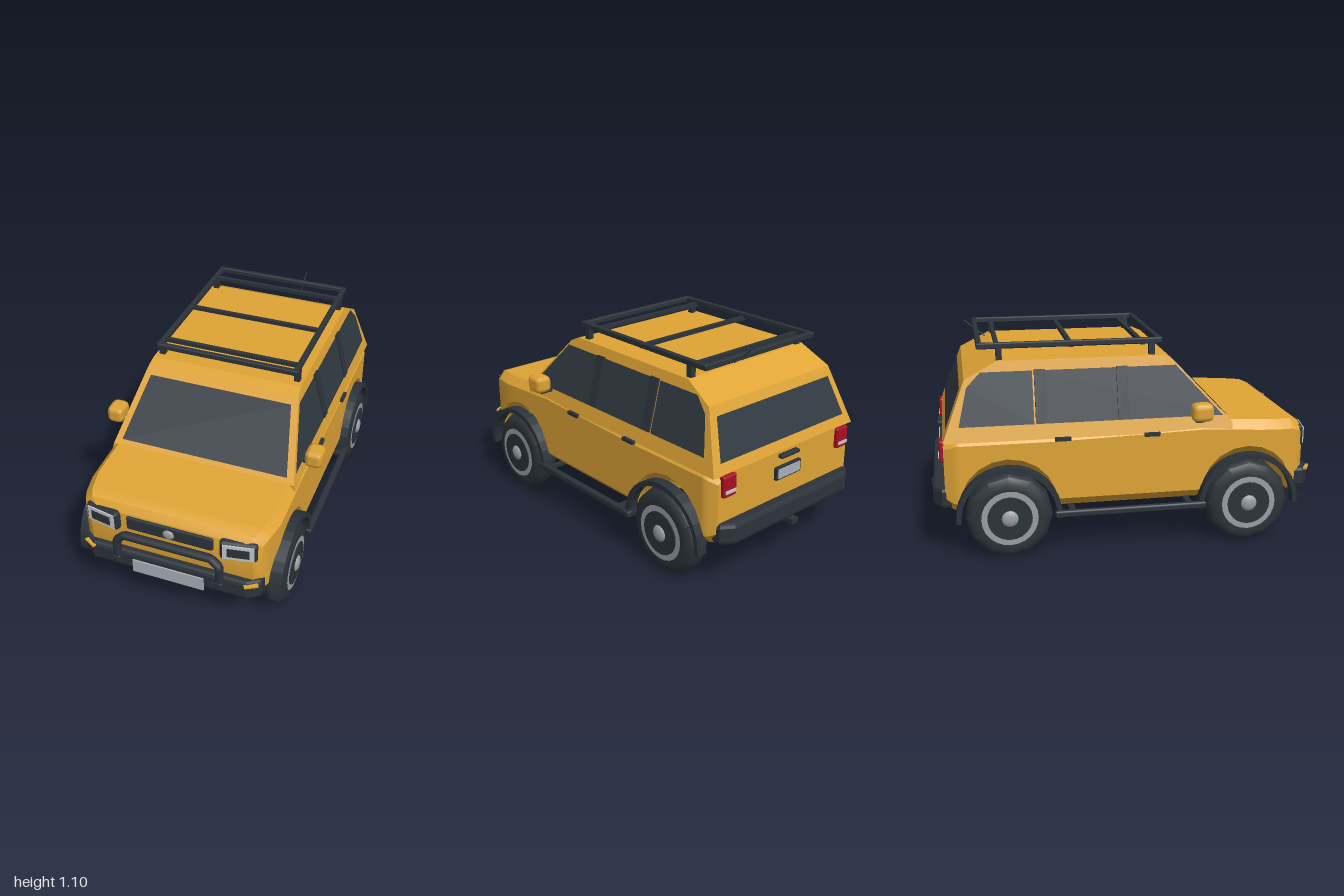
import * as THREE from 'three';
import { toCreasedNormals } from 'three/addons/utils/BufferGeometryUtils.js';
import { RoundedBoxGeometry } from 'three/addons/geometries/RoundedBoxGeometry.js';

const material = (name, color, side = THREE.FrontSide) => {
  const m = new THREE.MeshStandardMaterial({ color, side });
  m.name = name;
  return m;
};

export function createModel() {
  const car = new THREE.Group();
  car.name = 'offRoadCar';
  const paint = material('yellow paint', 0xdfa435);
  const trim = material('dark trim', 0x2b333a);
  const glass = material('tinted glass', 0x313a42, THREE.DoubleSide);
  const rubber = material('tyre rubber', 0x2c3338);
  const metal = material('silver metal', 0x9a9ea3, THREE.DoubleSide);
  const pale = material('pale plate', 0xa9b0b8);
  const lamp = material('lamp white', 0xc4c8ce);
  const red = material('tail light red', 0xa80f22);

  const add = (name, geo, mat, x = 0, y = 0, z = 0, parent = car) => {
    const m = new THREE.Mesh(geo, mat);
    m.name = name;
    m.position.set(x, y, z);
    parent.add(m);
    return m;
  };
  const box = (name, mat, w, h, d, x, y, z) => add(name, new THREE.BoxGeometry(w, h, d), mat, x, y, z);
  const bar = (name, mat, w, h, d, x, y, z, r = 0.01) =>
    add(name, new RoundedBoxGeometry(w, h, d, 1, r), mat, x, y, z);
  const shapeOf = pts => new THREE.Shape(pts.map(p => new THREE.Vector2(...p)));
  const remap = (geo, rule) => {
    const p = geo.attributes.position;
    for (let i = 0; i < p.count; i++) p.setXYZ(i, ...rule(p.getX(i), p.getY(i), p.getZ(i)));
    geo.computeVertexNormals();
    return geo;
  };

  // Lower body: cross-sections from nose to tail, with the floor rising over the wheels
  const wheelZ = 0.615, wheelY = 0.222;
  const sections = [[0.935, 0.42, 0.3, 0.585], [0.905, 0.46, 0.25, 0.618]];
  const arch = (zc, top) => {
    for (let i = 0; i <= 10; i++) {
      const a = Math.PI * i / 10;
      const z = zc + 0.245 * Math.cos(a);
      sections.push([z, z > 0.75 ? 0.5 - (z - 0.75) * 0.2 : 0.5, Math.max(0.245, wheelY + 0.245 * Math.sin(a)), top(z)]);
    }
  };
  arch(wheelZ, z => 0.635 + (0.86 - z) * 0.055);
  arch(-wheelZ, () => 0.64);
  sections.push([-0.885, 0.49, 0.25, 0.63], [-0.925, 0.465, 0.27, 0.615]);
  const verts = [], faces = [];
  for (const [z, w, low, top] of sections) {
    const half = [[w - 0.05, low], [w, low + 0.05], [w, top - 0.045], [w - 0.04, top]];
    for (const [x, y] of half) verts.push(x, y, z);
    for (const [x, y] of half.reverse()) verts.push(-x, y, z);
  }
  const last = (sections.length - 1) * 8;
  for (let i = 0; i < last; i += 8) {
    for (let j = 0; j < 8; j++) {
      const k = (j + 1) % 8;
      faces.push(i + j, i + 8 + j, i + k, i + k, i + 8 + j, i + 8 + k);
    }
  }
  for (let j = 1; j < 7; j++) faces.push(0, j, j + 1, last, last + j + 1, last + j);
  const bodyGeo = new THREE.BufferGeometry();
  bodyGeo.setAttribute('position', new THREE.Float32BufferAttribute(verts, 3));
  bodyGeo.setIndex(faces);
  add('lowerBody', toCreasedNormals(bodyGeo, 0.6), paint);

  // Cabin: side outline extruded across, leaning inwards with height
  const cabinW = y => 0.5 - (y - 0.6) * 0.255;
  const cabin = new THREE.ExtrudeGeometry(shapeOf([
    [0.53, 0.61], [0.53, 0.65], [0.235, 0.965], [0.18, 0.99], [-0.65, 0.99], [-0.81, 0.905], [-0.925, 0.61],
  ]), { depth: 1, bevelEnabled: false });
  add('cabin', remap(cabin, (z, y, s) => [(s > 0.5 ? -1 : 1) * cabinW(y), y, z]), paint);

  // Windscreen and rear window
  const pane = (name, pts, rule) => add(name, remap(new THREE.ShapeGeometry(shapeOf(pts)), rule), glass);
  pane('windscreen', [[-0.445, 0.675], [0.445, 0.675], [0.38, 0.935], [-0.38, 0.935]],
    (x, y) => [x, y, 0.536 - (y - 0.65) * 0.9365]);
  pane('rearWindow', [[-0.44, 0.665], [0.44, 0.665], [0.395, 0.86], [-0.395, 0.86]],
    (x, y) => [x, y, -0.931 + (y - 0.61) * 0.39]);

  // Wheel parts, turned around the axle
  const turn = pts => new THREE.LatheGeometry(pts.map(p => new THREE.Vector2(...p)), 12).rotateZ(-Math.PI / 2);
  const tyreGeo = toCreasedNormals(turn([[0.13, -0.062], [0.18, -0.066], [0.208, -0.048], [0.22, -0.02],
    [0.22, 0.02], [0.208, 0.048], [0.18, 0.066], [0.14, 0.062], [0.13, 0.03], [0.13, -0.062]]), 0.7);
  const disc = (r, t) => new THREE.CylinderGeometry(r, r, t, 24).rotateZ(-Math.PI / 2);
  const barrelGeo = new THREE.CylinderGeometry(0.131, 0.131, 0.1, 24, 1, true).rotateZ(-Math.PI / 2);
  const ringGeo = new THREE.RingGeometry(0.112, 0.142, 24).rotateY(Math.PI / 2);

  // Wheel arch flare
  const flareShape = new THREE.Shape();
  flareShape.absarc(0, 0, 0.264, -0.06, Math.PI + 0.06, false);
  flareShape.absarc(0, 0, 0.238, Math.PI + 0.06, -0.06, true);
  const flareGeo = new THREE.ExtrudeGeometry(flareShape, { depth: 0.055, bevelEnabled: false, curveSegments: 8 })
    .translate(0, 0, -0.0275).rotateY(Math.PI / 2);

  for (const s of [1, -1]) {
    const side = s > 0 ? 'left' : 'right';
    for (const e of [1, -1]) {
      const wheel = new THREE.Group();
      wheel.name = side + (e > 0 ? 'FrontWheel' : 'RearWheel');
      wheel.position.set(s * 0.472, wheelY, e * wheelZ);
      if (s < 0) wheel.rotation.y = Math.PI;
      car.add(wheel);
      add('tyre', tyreGeo, rubber, 0, 0, 0, wheel);
      add('rimBarrel', barrelGeo, metal, 0, 0, 0, wheel);
      add('rimDisc', disc(0.132, 0.02), trim, 0.045, 0, 0, wheel);
      add('rimRing', ringGeo, metal, 0.07, 0, 0, wheel);
      add('wheelCover', disc(0.112, 0.01), trim, 0.07, 0, 0, wheel);
      add('hub', new THREE.SphereGeometry(0.043, 12, 8).scale(0.4, 1, 1), metal, 0.074, 0, 0, wheel);
      add(side + 'ArchFlare', flareGeo, trim, s * 0.515, wheelY, e * wheelZ);
    }

    // Side windows and pillars
    const sidePanel = (name, pts, mat, off) => add(name, remap(new THREE.ShapeGeometry(shapeOf(pts)),
      (z, y) => [s * (cabinW(y) + off), y, z]), mat);
    sidePanel(side + 'DoorGlass', [[0.48, 0.685], [0.245, 0.94], [-0.468, 0.94], [-0.468, 0.685]], glass, 0.004);
    sidePanel(side + 'QuarterGlass', [[-0.478, 0.685], [-0.478, 0.94], [-0.73, 0.94], [-0.8, 0.87], [-0.845, 0.685]], glass, 0.004);
    for (const z of [-0.032, -0.442]) {
      const pillar = box(side + 'Pillar', trim, 0.016, 0.265, 0.055, s * (cabinW(0.817) + 0.005), 0.817, z);
      pillar.rotation.z = s * Math.atan(0.255);
    }

    // Mirrors, handles and side steps
    bar(side + 'Mirror', paint, 0.092, 0.092, 0.11, s * 0.541, 0.722, 0.355, 0.028);
    box(side + 'MirrorArm', trim, 0.08, 0.018, 0.04, s * 0.51, 0.678, 0.345);
    for (const z of [0.11, -0.34]) box(side + 'DoorHandle', trim, 0.02, 0.018, 0.08, s * 0.504, 0.608, z);
    bar(side + 'SideStep', trim, 0.035, 0.035, 0.78, s * 0.537, 0.228, 0);
    for (const z of [0.3, -0.3]) box(side + 'StepBracket', trim, 0.1, 0.015, 0.03, s * 0.48, 0.24, z);

    // Headlights: nested frames
    const light = new THREE.Group();
    light.name = side + 'Headlight';
    light.position.set(s * 0.35, 0.537, 0.925);
    light.rotation.y = s * 0.18;
    car.add(light);
    add('housing', new RoundedBoxGeometry(0.185, 0.11, 0.05, 1, 0.018), trim, 0, 0, 0, light);
    add('lampFrame', new THREE.BoxGeometry(0.152, 0.084, 0.008), lamp, 0, 0, 0.026, light);
    add('lens', new THREE.BoxGeometry(0.108, 0.05, 0.006), trim, 0, 0, 0.03, light);
    const indicator = box(side + 'Indicator', paint, 0.07, 0.01, 0.02, s * 0.425, 0.358, 0.965);
    indicator.rotation.y = s * 0.5;

    // Tail lights
    bar(side + 'TailLight', red, 0.085, 0.11, 0.04, s * 0.407, 0.556, -0.925);
    box(side + 'ReverseLight', lamp, 0.066, 0.016, 0.008, s * 0.407, 0.53, -0.946);

    // Roof rack rails and feet
    bar('rackSideRail', trim, 0.028, 0.03, 0.92, s * 0.368, 1.06, -0.28, 0.007);
    for (const z of [0.13, -0.635]) box('rackFoot', trim, 0.03, 0.075, 0.03, s * 0.368, 1.015, z);
  }

  // Roof rack cross bars
  for (const z of [0.17, -0.73]) bar('rackEndRail', trim, 0.764, 0.03, 0.028, 0, 1.06, z, 0.007);
  for (const z of [0.085, -0.275, -0.64]) box('rackCrossBar', trim, 0.73, 0.02, 0.022, 0, 1.048, z);

  // Roof aerial
  const aerial = add('aerial', new THREE.CylinderGeometry(0.0025, 0.003, 0.14, 6), trim, 0.13, 1.06, -0.735);
  aerial.rotation.x = -0.88;

  // Bumpers with swept ends
  const bumperGeo = new THREE.ExtrudeGeometry(shapeOf([
    [-0.45, -0.055], [0.45, -0.055], [0.45, -0.035], [0.4, 0], [-0.4, 0], [-0.45, -0.035],
  ]), { depth: 0.07, bevelSize: 0.018, bevelThickness: 0.018, bevelSegments: 2 })
    .rotateX(Math.PI / 2).translate(0, 0.353, 0);
  add('frontBumper', bumperGeo, trim, 0, 0, 0.957);
  add('rearBumper', bumperGeo, trim, 0, 0, -0.967).rotation.y = Math.PI;

  // Grille with round stud, and bull bar
  bar('grille', trim, 0.45, 0.078, 0.03, 0, 0.537, 0.932);
  add('grilleStud', new THREE.SphereGeometry(0.03, 12, 8).scale(1, 0.9, 0.4), metal, 0, 0.535, 0.949);
  const barPath = new THREE.CurvePath();
  const bend = [[-0.268, 0.31, 0.975], [-0.268, 0.44, 0.975], [-0.225, 0.482, 0.975],
    [0.225, 0.482, 0.975], [0.268, 0.44, 0.975], [0.268, 0.31, 0.975]].map(p => new THREE.Vector3(...p));
  for (let i = 0; i < 5; i++) barPath.add(new THREE.LineCurve3(bend[i], bend[i + 1]));
  add('bullBar', new THREE.TubeGeometry(barPath, 60, 0.022, 8), trim);
  for (const x of [-0.268, 0.268]) bar('bullBarFoot', trim, 0.04, 0.05, 0.05, x, 0.325, 0.972);

  // Plates, tailgate handle and tow hitch
  box('frontPlate', pale, 0.375, 0.076, 0.008, 0, 0.298, 0.981);
  box('rearPlateFrame', trim, 0.175, 0.065, 0.02, 0, 0.505, -0.932);
  box('rearPlate', pale, 0.155, 0.048, 0.006, 0, 0.505, -0.944);
  bar('tailgateHandle', trim, 0.13, 0.02, 0.03, 0, 0.592, -0.938, 0.006);
  box('towHitch', trim, 0.045, 0.028, 0.09, 0, 0.247, -0.955);

  return car;
}
